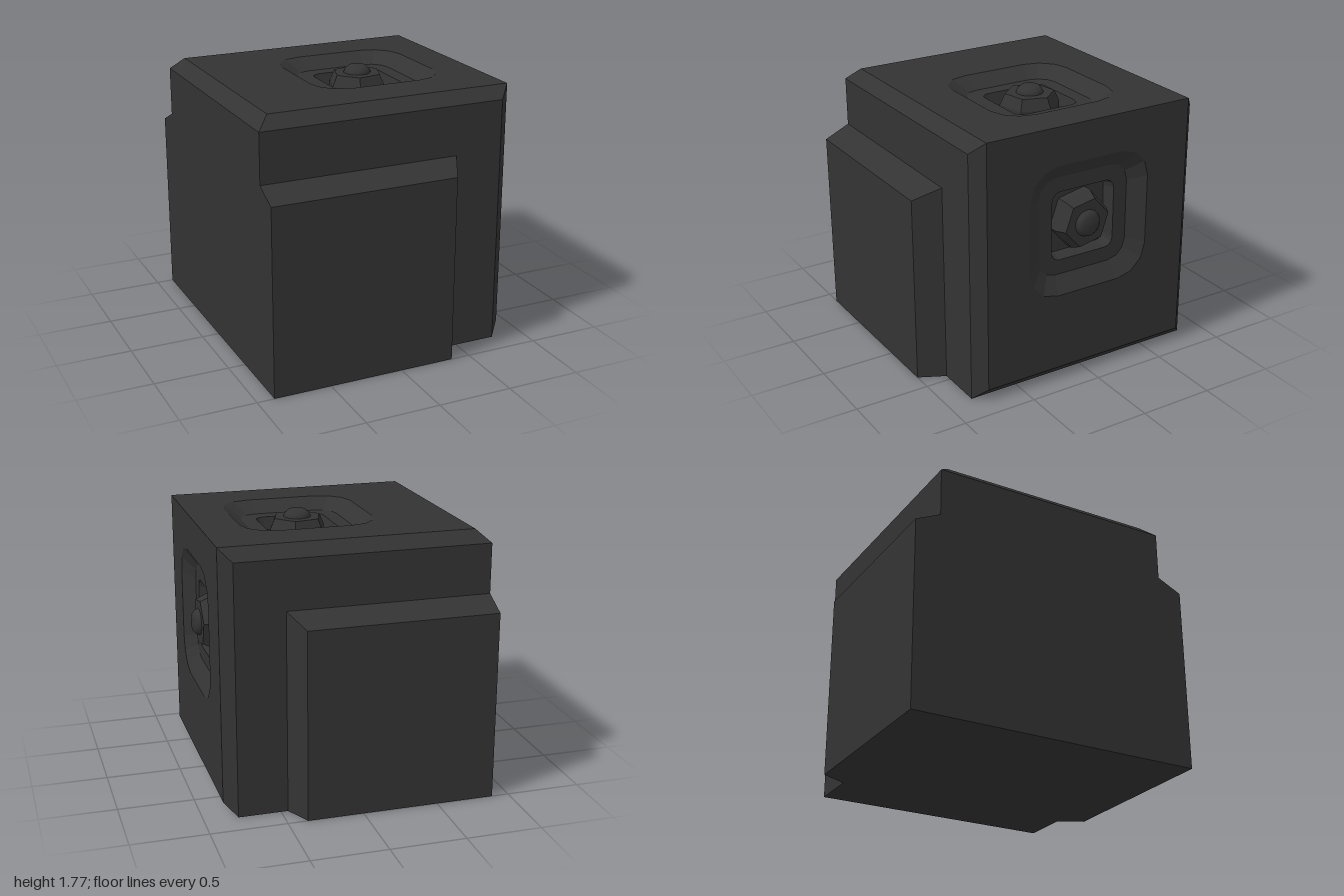
import * as THREE from 'three';

const flat = new THREE.MeshStandardMaterial({ color: 0x333333, flatShading: true });
const smooth = new THREE.MeshStandardMaterial({ color: 0x333333 });

function addMesh(parent, name, geometry, material = flat) {
  const mesh = new THREE.Mesh(geometry, material);
  mesh.name = name;
  parent.add(mesh);
  return mesh;
}

// Convex polygons as triangle fans, each turned to face away from an inner point
function shell(polygons, inner) {
  const out = [];
  for (const poly of polygons) {
    const [a, b, c] = poly.map(p => new THREE.Vector3(...p));
    const normal = b.clone().sub(a).cross(c.clone().sub(a));
    const pts = normal.dot(a.clone().sub(inner)) < 0 ? [...poly].reverse() : poly;
    for (let i = 1; i < pts.length - 1; i++) out.push(...pts[0], ...pts[i], ...pts[i + 1]);
  }
  const g = new THREE.BufferGeometry();
  g.setAttribute('position', new THREE.Float32BufferAttribute(out, 3));
  g.computeVertexNormals();
  return g;
}

// Counter-clockwise rounded square, always the same number of points
function roundedSquare(half, r, seg = 3) {
  const pts = [];
  for (let k = 0; k < 4; k++) {
    const mid = Math.PI / 4 + k * Math.PI / 2;
    const cx = Math.sign(Math.cos(mid)) * (half - r), cy = Math.sign(Math.sin(mid)) * (half - r);
    for (let i = 0; i <= seg; i++) {
      const a = k * Math.PI / 2 + (i / seg) * Math.PI / 2;
      pts.push(new THREE.Vector2(cx + r * Math.cos(a), cy + r * Math.sin(a)));
    }
  }
  return pts;
}

// Walls between successive rounded squares [half, radius, height], closed by a floor
function recess(rings) {
  const loops = rings.map(([h, r, y]) => roundedSquare(h, r).map(p => [p.x, y, -p.y]));
  const out = [], n = loops[0].length;
  for (let k = 0; k < loops.length - 1; k++) {
    for (let i = 0; i < n; i++) {
      const j = (i + 1) % n, a = loops[k], b = loops[k + 1];
      out.push(...a[i], ...a[j], ...b[i], ...b[i], ...a[j], ...b[j]);
    }
  }
  const last = loops[loops.length - 1];
  for (let i = 0; i < n; i++) out.push(0, last[0][1], 0, ...last[i], ...last[(i + 1) % n]);
  const g = new THREE.BufferGeometry();
  g.setAttribute('position', new THREE.Float32BufferAttribute(out, 3));
  g.computeVertexNormals();
  return g;
}

// One body face with a dished recess, hex nut and stud; local +y points out of the face
function socketFace(name, x0, x1, y0, y1) {
  const group = new THREE.Group();
  group.name = name;
  const outline = new THREE.Shape([[x0, y0], [x1, y0], [x1, y1], [x0, y1]].map(p => new THREE.Vector2(...p)));
  outline.holes.push(new THREE.Path(roundedSquare(0.445, 0.21).reverse()));
  addMesh(group, 'facePlate', new THREE.ShapeGeometry(outline).rotateX(-Math.PI / 2));

  addMesh(group, 'recess', recess([
    [0.445, 0.21, 0], [0.335, 0.13, -0.075], [0.235, 0.06, -0.075], [0.215, 0.05, -0.16],
  ]));

  // Hex nut: straight base and tapered top
  const turn = THREE.MathUtils.degToRad(101);
  const base = new THREE.CylinderGeometry(0.2, 0.2, 0.06, 6, 1, true).rotateY(turn);
  addMesh(group, 'nutBase', base).position.y = -0.13;
  const top = new THREE.CylinderGeometry(0.165, 0.2, 0.075, 6).rotateY(turn);
  addMesh(group, 'nutTop', top).position.y = -0.0625;

  // Domed stud
  const profile = [[0.09, -0.05], [0.09, -0.02], [0.08, 0.0], [0.058, 0.02], [0, 0.023]];
  addMesh(group, 'stud', new THREE.LatheGeometry(profile.map(p => new THREE.Vector2(...p)), 20), smooth);
  return group;
}

export function createModel() {
  const model = new THREE.Group();
  model.name = 'cornerBlock';

  // Body: bevelled block without its top and outer side, which carry the sockets
  const L = -0.885, Z = 0.83, z = 0.75;
  const polygons = [
    [[L, 0, Z], [L, 0, -Z], [L, 1.67, -Z], [L, 1.67, Z]],
    [[L, 0, Z], [0.78, 0, Z], [0.78, 0, -Z], [L, 0, -Z]],
    [[L, 1.67, Z], [L, 1.67, -Z], [-0.8, 1.75, -z], [-0.8, 1.75, z]],
    [[0.78, 0, Z], [0.78, 0, -Z], [0.86, 0.08, -z], [0.86, 0.08, z]],
  ];
  for (const s of [1, -1]) {
    polygons.push(
      [[L, 0, s * Z], [0.78, 0, s * Z], [0.78, 1.67, s * Z], [L, 1.67, s * Z]],
      [[L, 1.67, s * Z], [0.78, 1.67, s * Z], [0.86, 1.75, s * z], [-0.8, 1.75, s * z]],
      [[0.78, 0, s * Z], [0.86, 0.08, s * z], [0.86, 1.75, s * z], [0.78, 1.67, s * Z]],
    );
  }
  addMesh(model, 'body', shell(polygons, new THREE.Vector3(0, 0.9, 0)));

  // Raised panels on front and back, bevelled on the top and outer edge
  for (const s of [1, -1]) {
    const a = s * Z, b = s;
    const panel = [
      [[L, 0, b], [0.37, 0, b], [0.37, 1.26, b], [L, 1.26, b]],
      [[L, 1.26, b], [0.37, 1.26, b], [0.455, 1.34, a], [L, 1.34, a]],
      [[0.37, 0, b], [0.455, 0, a], [0.455, 1.34, a], [0.37, 1.26, b]],
      [[L, 0, a], [L, 0, b], [L, 1.26, b], [L, 1.34, a]],
      [[L, 0, a], [0.455, 0, a], [0.37, 0, b], [L, 0, b]],
    ];
    addMesh(model, s > 0 ? 'frontPanel' : 'backPanel', shell(panel, new THREE.Vector3(-0.2, 0.6, s * 0.9)));
  }

  // Top socket face
  const topFace = socketFace('topSocket', -0.955, 0.705, -z, z);
  topFace.position.set(0.155, 1.75, 0);
  model.add(topFace);

  // Side socket face, turned so its outward axis is +x
  const sideFace = socketFace('sideSocket', -z, z, -0.97, 0.70);
  sideFace.quaternion.setFromRotationMatrix(new THREE.Matrix4().makeBasis(
    new THREE.Vector3(0, 0, -1), new THREE.Vector3(1, 0, 0), new THREE.Vector3(0, -1, 0)));
  sideFace.position.set(0.86, 1.05, 0);
  model.add(sideFace);

  return model;
}
